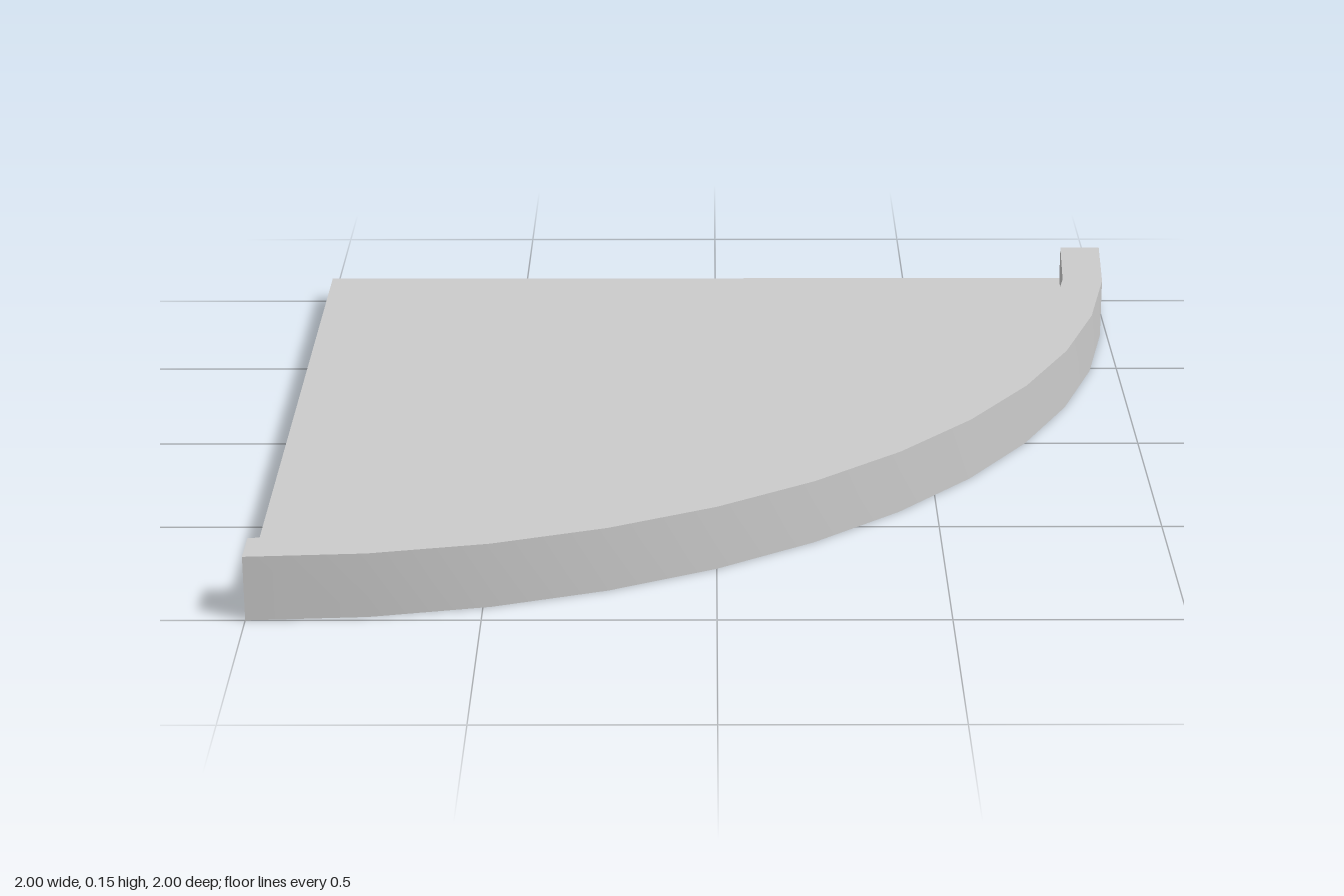
import * as THREE from 'three';
import { toCreasedNormals } from 'three/addons/utils/BufferGeometryUtils.js';

const RADIUS = 2, RIM_INNER = 1.9, HEIGHT = 0.147, FLOOR = 0.063, SEGMENTS = 12;

export function createModel() {
  const group = new THREE.Group();
  group.name = 'quarterRoundPlate';
  const material = new THREE.MeshStandardMaterial({ color: 0xcccccc });

  const add = (name, geometry) => {
    const mesh = new THREE.Mesh(geometry, material);
    mesh.name = name;
    mesh.position.set(-1, 0, -1); // the square corner is the centre of the arc
    group.add(mesh);
  };

  // Cross-section: flat floor with a raised rim at the outer edge
  const profile = [
    [0, 0], [RADIUS, 0], [RADIUS, HEIGHT], [RIM_INNER, HEIGHT], [RIM_INNER, FLOOR], [0, FLOOR],
  ].map(([r, y]) => new THREE.Vector2(r, y));

  // Floor and rim swept through a quarter turn
  const sweep = new THREE.LatheGeometry(profile, SEGMENTS, 0, Math.PI / 2);
  add('floorAndRim', toCreasedNormals(sweep, Math.PI / 6));

  // Flat straight side facing -x
  const leftSide = new THREE.ShapeGeometry(new THREE.Shape(profile));
  add('rightStraightSide', leftSide.rotateY(-Math.PI / 2));

  // Flat straight side facing -z
  const mirrored = profile.map((p) => new THREE.Vector2(-p.x, p.y));
  const backSide = new THREE.ShapeGeometry(new THREE.Shape(mirrored));
  add('backStraightSide', backSide.rotateY(Math.PI));

  return group;
}
